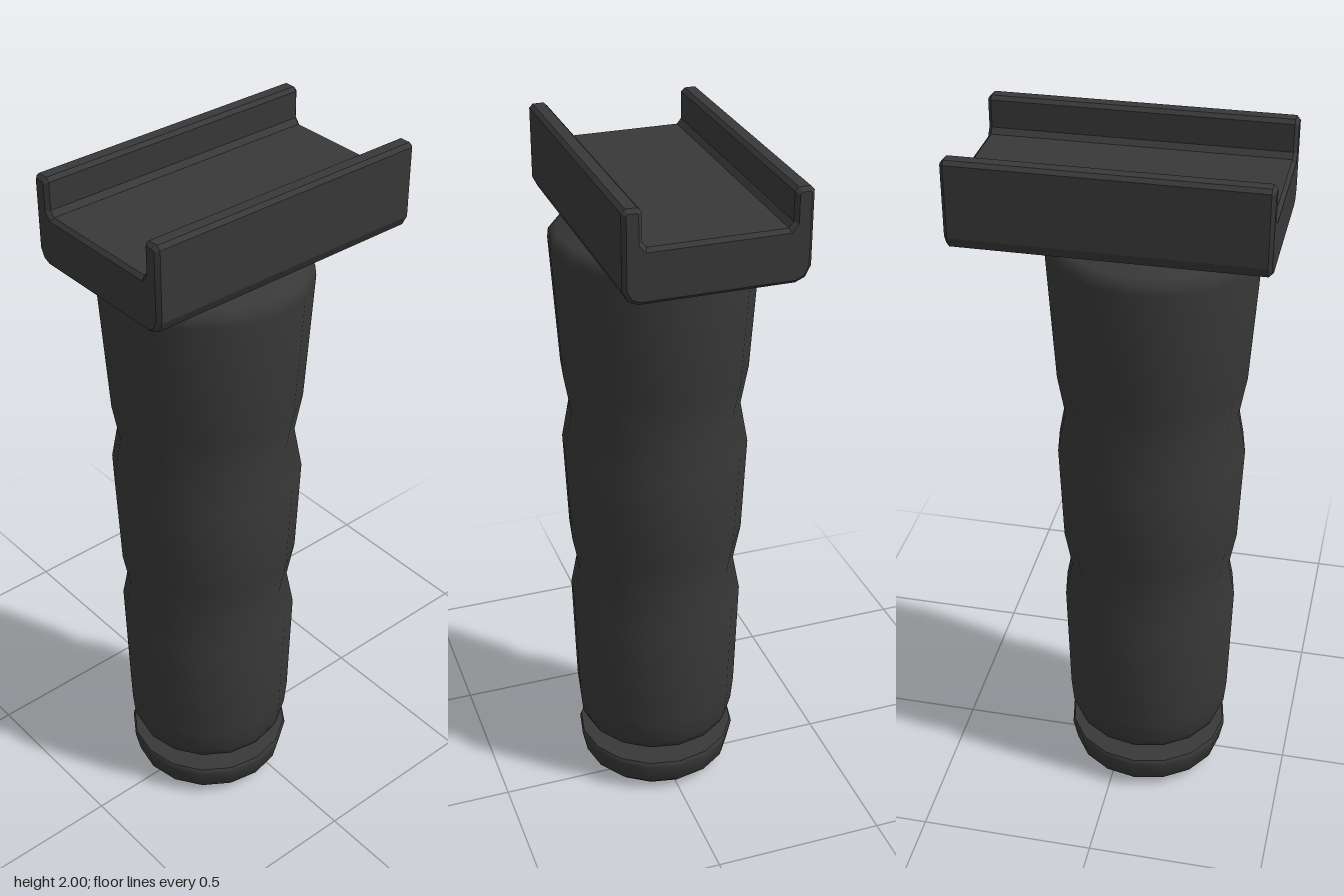
import * as THREE from 'three';
import { toCreasedNormals } from 'three/addons/utils/BufferGeometryUtils.js';

const GRIP_Z = 0.075; // the handle sits forward of the rail centre
const polymer = new THREE.MeshStandardMaterial({ color: 0x383838 });
polymer.name = 'dark polymer';

function addPart(group, name, geometry, creaseDegrees) {
  const creased = toCreasedNormals(geometry, THREE.MathUtils.degToRad(creaseDegrees));
  const mesh = new THREE.Mesh(creased, polymer);
  mesh.name = name;
  group.add(mesh);
  return mesh;
}

// Round part from [radius, height] pairs, listed from bottom to top
function turned(profile) {
  return new THREE.LatheGeometry(profile.map(([r, y]) => new THREE.Vector2(r, y)), 16);
}

export function createModel() {
  const model = new THREE.Group();
  model.name = 'verticalGrip';

  // Tapered handle with two finger grooves and a shallow conical underside
  const handle = addPart(model, 'handle', turned([
    [0, 0.12], [0.19, 0.15], [0.22, 0.165], [0.233, 0.195], [0.24, 0.27],
    [0.25, 0.61], [0.23, 0.715], [0.25, 0.825],
    [0.262, 1.11], [0.24, 1.23], [0.26, 1.345],
    [0.283, 1.71], [0.28, 1.735], [0.262, 1.752], [0, 1.757],
  ]), 50);
  handle.position.z = GRIP_Z;

  // Screw-on end cap
  const cap = addPart(model, 'endCap', turned([
    [0, 0], [0.165, 0], [0.2, 0.012], [0.223, 0.035],
    [0.237, 0.102], [0.232, 0.112], [0, 0.112],
  ]), 40);
  cap.position.z = GRIP_Z;

  // Channel-shaped rail clamp: right half of the section, mirrored
  const half = [
    [0.2, 1.757], [0.225, 1.768], [0.24, 1.797], [0.24, 1.99], [0.23, 2],
    [0.2, 2], [0.19, 1.99], [0.19, 1.915], [0.178, 1.9],
  ];
  const mirrored = half.map(([x, y]) => [-x, y]).reverse();
  const section = new THREE.Shape([...half, ...mirrored].map(([x, y]) => new THREE.Vector2(x, y)));
  const bevel = 0.01;
  const channel = new THREE.ExtrudeGeometry(section, {
    depth: 0.82 - 2 * bevel, bevelEnabled: true, bevelSegments: 1,
    bevelSize: bevel, bevelThickness: bevel, bevelOffset: -bevel,
  });
  channel.translate(0, 0, -0.41 + bevel);
  addPart(model, 'railClamp', channel, 25);

  return model;
}
